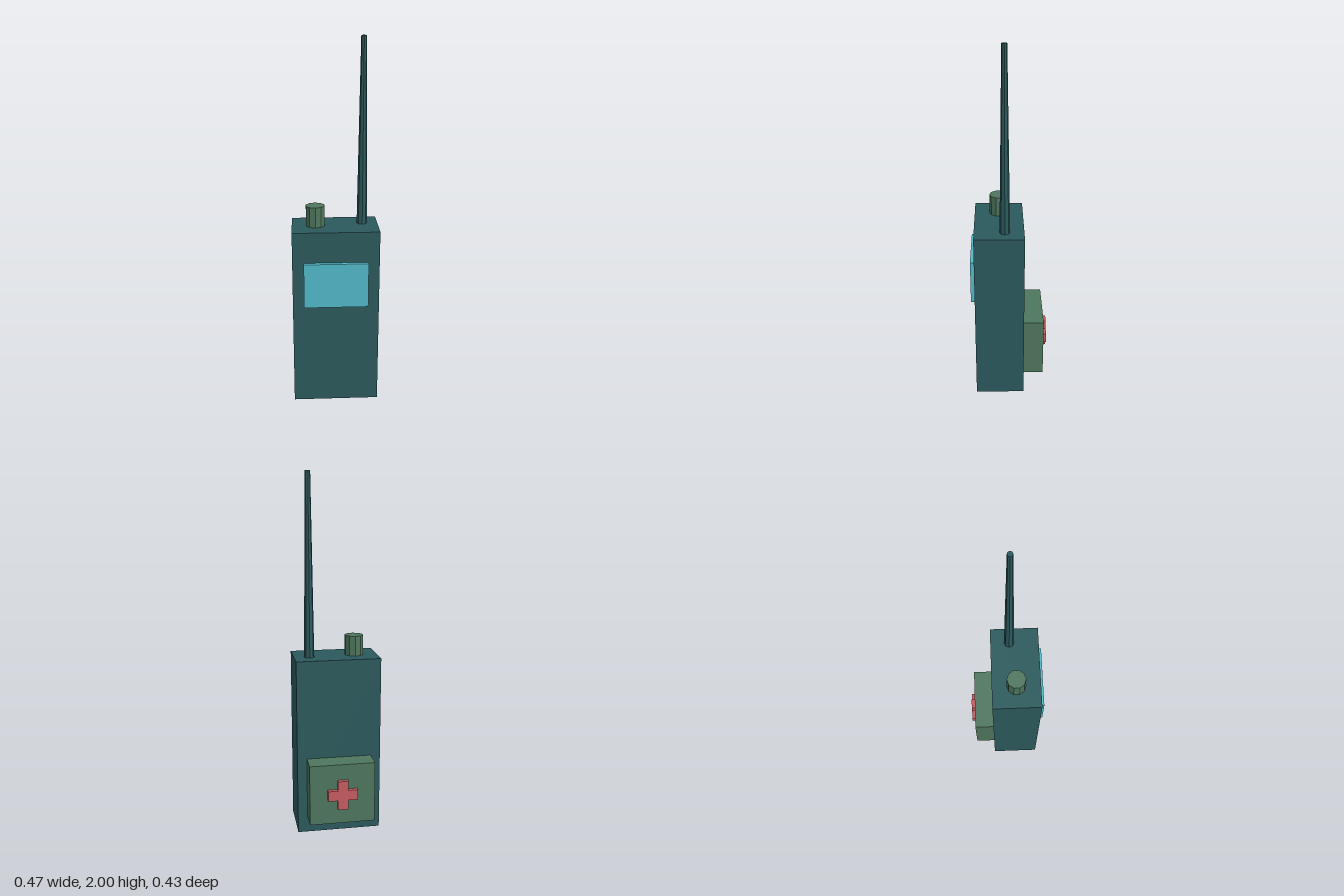
import * as THREE from 'three';

export function createModel() {
  const group = new THREE.Group();
  group.name = 'handheldRadio';

  const material = (name, color) => {
    const m = new THREE.MeshStandardMaterial({ color, flatShading: true });
    m.name = name;
    return m;
  };
  const teal = material('dark teal', 0x2c5a5d);
  const green = material('muted green', 0x4f775e);
  const cyan = material('screen cyan', 0x53bacb);
  const red = material('soft red', 0xc65c61);

  const add = (name, geometry, mat, x, y, z) => {
    const mesh = new THREE.Mesh(geometry, mat);
    mesh.name = name;
    mesh.position.set(x, y, z);
    group.add(mesh);
  };
  const box = (w, h, d) => new THREE.BoxGeometry(w, h, d);

  // Casing and front screen
  add('body', box(0.47, 1, 0.272), teal, 0, 0.5, 0.056);
  add('screen', box(0.348, 0.25, 0.024), cyan, 0, 0.705, 0.203);

  // Tapered antenna and dial on the top face
  add('antenna', new THREE.CylinderGeometry(0.0145, 0.0285, 1, 8), teal, 0.15, 1.5, 0.025);
  add('knob', new THREE.CylinderGeometry(0.053, 0.053, 0.112, 10), green, -0.107, 1.056, 0.055);

  // Back pack with a raised cross
  add('backPack', box(0.364, 0.345, 0.114), green, 0, 0.268, -0.137);
  const a = 0.083, b = 0.029;
  const outline = [
    [b, a], [-b, a], [-b, b], [-a, b], [-a, -b], [-b, -b],
    [-b, -a], [b, -a], [b, -b], [a, -b], [a, b], [b, b],
  ].map(([x, y]) => new THREE.Vector2(x, y));
  const cross = new THREE.ExtrudeGeometry(new THREE.Shape(outline), { depth: 0.023, bevelEnabled: false });
  add('cross', cross, red, 0, 0.268, -0.217);

  return group;
}
